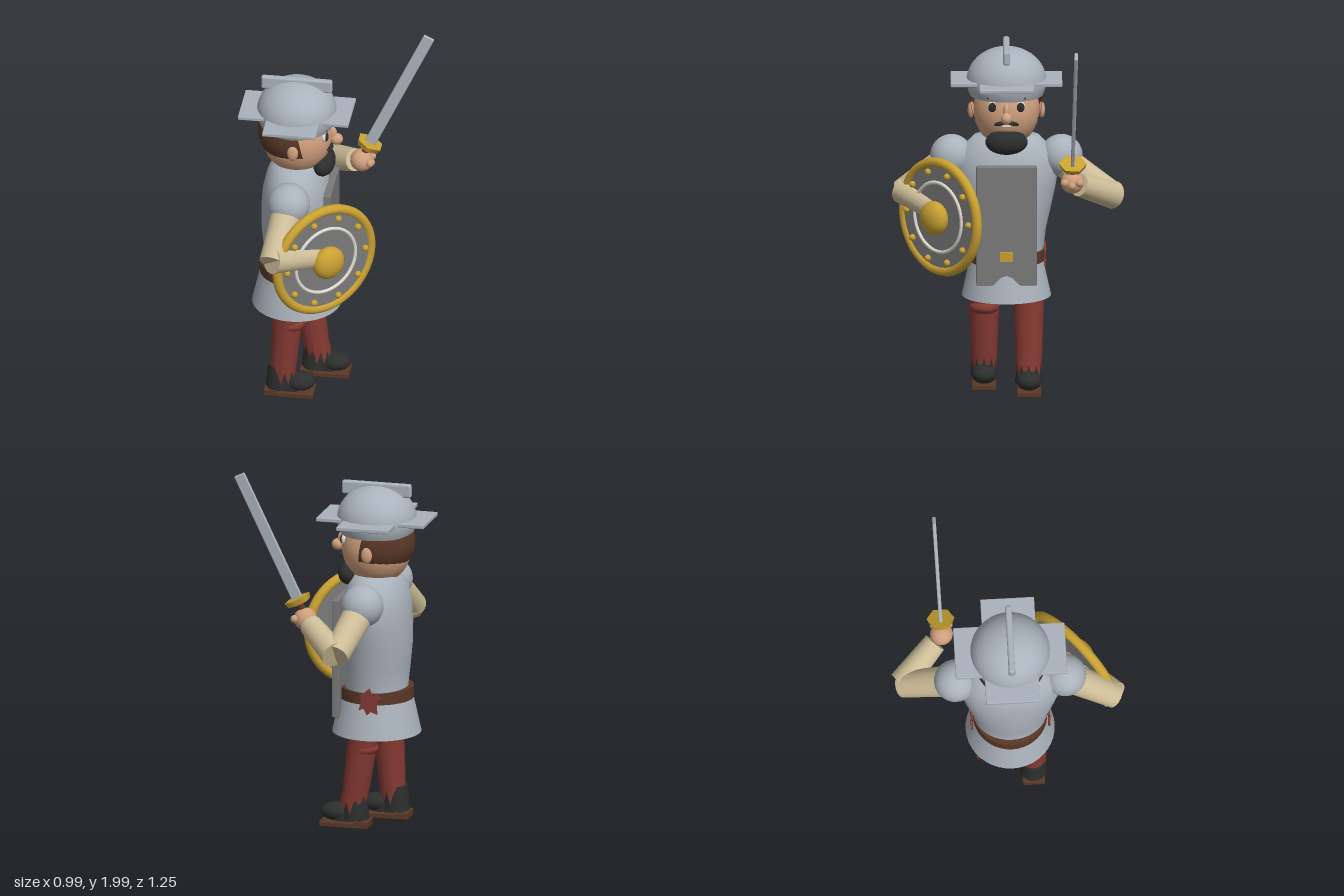
import * as THREE from 'three';
import { RoundedBoxGeometry } from 'three/addons/geometries/RoundedBoxGeometry.js';

const mat = (name, color, side = THREE.FrontSide) => {
  const m = new THREE.MeshStandardMaterial({ color, side });
  m.name = name;
  return m;
};

export function createModel() {
  const steel = mat('steel', 0xaab2bb, THREE.DoubleSide);
  const iron = mat('dark iron', 0x7a7a7a);
  const gold = mat('gold', 0xc9a132);
  const red = mat('red cloth', 0x843932, THREE.DoubleSide);
  const brown = mat('brown', 0x5a3827, THREE.DoubleSide);
  const black = mat('black', 0x2c2d2d);
  const white = mat('white', 0xe0dcd0);
  const skin = mat('skin', 0xcf9f7c);
  const sleeve = mat('sleeve', 0xcdbd97);

  const model = new THREE.Group();
  model.name = 'soldier';
  const CX = -0.2; // body axis

  const add = (name, geo, material, x = 0, y = 0, z = 0, parent = model) => {
    const m = new THREE.Mesh(geo, material);
    m.name = name;
    m.position.set(x, y, z);
    parent.add(m);
    return m;
  };
  const ball = (name, material, x, y, z, rx, ry = rx, rz = rx, parent = model) => {
    const m = add(name, new THREE.SphereGeometry(1, 28, 18), material, x, y, z, parent);
    m.scale.set(rx, ry, rz);
    return m;
  };
  const UP = new THREE.Vector3(0, 1, 0);
  // tapered cylinder running from point a to point b
  const limb = (name, material, a, b, ra, rb) => {
    const A = new THREE.Vector3(...a), B = new THREE.Vector3(...b), d = B.clone().sub(A);
    const m = add(name, new THREE.CylinderGeometry(rb, ra, d.length(), 20), material);
    m.position.copy(A).lerp(B, 0.5);
    m.quaternion.setFromUnitVectors(UP, d.normalize());
    return m;
  };

  // Torso: lathe of unit radius, each ring stretched to its own ellipse
  const rings = [[0.68, 0.19, 0.19], [0.77, 0.168, 0.2], [0.88, 0.18, 0.213], [1.0, 0.19, 0.24], [1.12, 0.188, 0.266],
    [1.22, 0.18, 0.28], [1.31, 0.16, 0.255], [1.39, 0.115, 0.175], [1.392, 0.001, 0.001]];
  const torso = new THREE.LatheGeometry(rings.map(r => new THREE.Vector2(1, r[0])), 40);
  const tp = torso.attributes.position;
  for (let i = 0; i < tp.count; i++) {
    const r = rings[i % rings.length];
    tp.setX(i, tp.getX(i) * r[1]);
    tp.setZ(i, tp.getZ(i) * r[2]);
  }
  torso.computeVertexNormals();
  add('torso', torso, steel, CX);
  add('skirt', new THREE.CylinderGeometry(0.198, 0.24, 0.19, 40), steel, CX, 0.605);
  add('belt', new THREE.CylinderGeometry(0.2, 0.2, 0.065, 40), brown, CX, 0.733);
  add('chestPlate', new RoundedBoxGeometry(0.04, 0.655, 0.325, 2, 0.006), iron, -0.013, 0.933, 0);
  add('buckle', new THREE.BoxGeometry(0.009, 0.052, 0.068), gold, 0.011, 0.765, 0);

  // Torn sash knots on both hips
  const rag = new THREE.Shape([[-0.06, 0.02], [-0.035, 0.045], [-0.02, 0.03], [0, 0.075], [0.025, 0.05], [0.05, 0.035],
    [0.045, -0.01], [0.06, -0.05], [0.03, -0.04], [0.012, -0.075], [-0.01, -0.055], [-0.045, -0.068], [-0.04, -0.02]]
    .map(p => new THREE.Vector2(...p)));
  for (const s of [1, -1]) {
    const g = new THREE.ExtrudeGeometry(rag, { depth: 0.012, bevelEnabled: false });
    add('sash', g, red, CX - 0.015, 0.722, s > 0 ? 0.202 : -0.214);
  }

  // Legs and feet, the -z one striding forward
  for (const [s, top, heel] of [[1, -0.23, -0.355], [-1, -0.165, -0.195]]) {
    const z = s * 0.12, ankle = heel + 0.08;
    const leg = new THREE.CylinderGeometry(0.085, 0.068, 0.47, 20, 4, true);
    const p = leg.attributes.position;
    for (let i = 0; i < p.count; i++) {
      const t = 0.5 - p.getY(i) / 0.47;
      if (t > 0.99 && (i % 21) % 2) p.setY(i, p.getY(i) + 0.075); // ragged hem
      p.setX(i, p.getX(i) + t * (ankle + 0.015 - top));
    }
    leg.computeVertexNormals();
    add('trouserLeg', leg, red, top, 0.315, z);
    ball('knee', red, top + 0.01, 0.44, z, 0.086, 0.045, 0.082);
    add('ankle', new THREE.CylinderGeometry(0.062, 0.074, 0.135, 20), black, ankle, 0.113, z);
    ball('shoeToe', black, heel + 0.19, 0.077, z, 0.082, 0.05, 0.068);
    add('shoe', new THREE.BoxGeometry(0.15, 0.05, 0.11), black, heel + 0.105, 0.06, z);
    add('sole', new RoundedBoxGeometry(0.2, 0.03, 0.13, 2, 0.006), brown, heel + 0.168, 0.016, z);
    add('heelSole', new RoundedBoxGeometry(0.08, 0.04, 0.12, 2, 0.006), brown, heel + 0.04, 0.02, z);
  }

  // Head and face
  add('neck', new THREE.CylinderGeometry(0.09, 0.1, 0.12, 20), skin, CX, 1.4);
  ball('head', skin, CX, 1.535, 0, 0.19, 0.205, 0.178);
  const hair = add('hair', new THREE.SphereGeometry(1, 32, 20, -Math.PI / 2 - 0.2, Math.PI + 0.4), brown, CX, 1.575);
  hair.scale.set(0.21, 0.195, 0.194);
  hair.rotation.z = 0.22;
  ball('nose', skin, 0.015, 1.53, 0, 0.036, 0.032, 0.031);
  ball('noseBridge', skin, -0.008, 1.56, 0, 0.026, 0.045, 0.02);
  ball('beard', black, -0.055, 1.385, 0, 0.064, 0.07, 0.114);
  add('mouth', new THREE.BoxGeometry(0.009, 0.012, 0.05), white, -0.016, 1.483, 0);
  for (const s of [1, -1]) {
    ball('ear', skin, CX + 0.005, 1.53, s * 0.19, 0.03, 0.045, 0.018);
    ball('eyeWhite', white, -0.04, 1.582, s * 0.076, 0.018, 0.03, 0.026);
    ball('pupil', black, -0.029, 1.582, s * 0.076, 0.012, 0.026, 0.021);
    add('eyebrow', new THREE.BoxGeometry(0.03, 0.014, 0.06), brown, -0.035, 1.63, s * 0.075).rotation.x = -s * 0.2;
    const m = ball('moustache', black, -0.017, 1.496, s * 0.033, 0.02, 0.011, 0.036);
    m.rotation.x = s * 0.2;
  }

  // Helmet with four brim plates and a crest
  const dome = [];
  for (let i = 0; i <= 14; i++) {
    const a = i / 14 * (Math.PI / 2 + 0.42) - 0.42;
    dome.push(new THREE.Vector2(0.215 * Math.cos(a), 1.69 + 0.185 * Math.sin(a)));
  }
  add('helmetDome', new THREE.LatheGeometry(dome, 40), steel, CX);
  add('brimFrontBack', new RoundedBoxGeometry(0.6, 0.022, 0.29, 2, 0.005), steel, CX, 1.697, 0);
  add('brimSides', new RoundedBoxGeometry(0.29, 0.022, 0.6, 2, 0.005), steel, CX, 1.697, 0);
  add('crest', new RoundedBoxGeometry(0.385, 0.075, 0.035, 3, 0.012), steel, CX, 1.853, 0);

  // Arms
  for (const s of [1, -1]) ball('shoulderGuard', steel, CX, 1.277, s * 0.295, 0.115);
  limb('upperArm', sleeve, [CX, 1.26, 0.3], [-0.25, 1.06, 0.56], 0.085, 0.072);
  limb('forearm', sleeve, [-0.255, 1.075, 0.555], [-0.035, 1.005, 0.36], 0.078, 0.064);
  ball('shieldHand', skin, -0.025, 1.0, 0.33, 0.065);
  limb('upperArm', sleeve, [-0.19, 1.25, -0.3], [-0.13, 1.07, -0.575], 0.085, 0.072);
  limb('forearm', sleeve, [-0.125, 1.075, -0.575], [0.06, 1.175, -0.39], 0.076, 0.062);
  ball('swordHand', skin, 0.1, 1.2, -0.353, 0.062);
  for (let i = -1; i <= 1; i++) ball('finger', skin, 0.15, 1.19 + Math.abs(i) * 0.016, -0.352 + i * 0.04, 0.022);

  // Sword
  const sword = new THREE.Group();
  sword.name = 'sword';
  sword.position.set(0.14, 1.3, -0.355);
  sword.quaternion.setFromUnitVectors(UP, new THREE.Vector3(0.325, 0.685, -0.018).normalize());
  model.add(sword);
  add('blade', new RoundedBoxGeometry(0.062, 0.756, 0.02, 2, 0.006), steel, 0, 0.378, 0, sword);
  add('guard', new THREE.CylinderGeometry(0.076, 0.066, 0.03, 6).toNonIndexed(), gold, 0, 0, 0, sword);
  add('grip', new THREE.CylinderGeometry(0.02, 0.02, 0.15, 14), brown, 0, -0.085, 0, sword);

  // Round shield, built facing local +z
  const shield = new THREE.Group();
  shield.name = 'shield';
  shield.position.set(0, 0.985, 0.355);
  shield.rotation.y = 0.72;
  model.add(shield);
  const disk = new THREE.CylinderGeometry(0.3, 0.3, 0.03, 48).rotateX(Math.PI / 2);
  add('shieldFace', disk, iron, 0, 0, 0, shield);
  add('shieldRim', new THREE.TorusGeometry(0.297, 0.027, 12, 56), gold, 0, 0, 0, shield);
  add('shieldRing', new THREE.TorusGeometry(0.19, 0.01, 8, 48), white, 0, 0, 0.017, shield);
  ball('shieldBoss', gold, 0, 0, 0.045, 0.093, 0.093, 0.06, shield);
  for (let i = 0; i < 10; i++) {
    const a = i * Math.PI / 5;
    ball('rivet', gold, 0.25 * Math.cos(a), 0.25 * Math.sin(a), 0.022, 0.018, 0.018, 0.018, shield);
  }
  return model;
}
